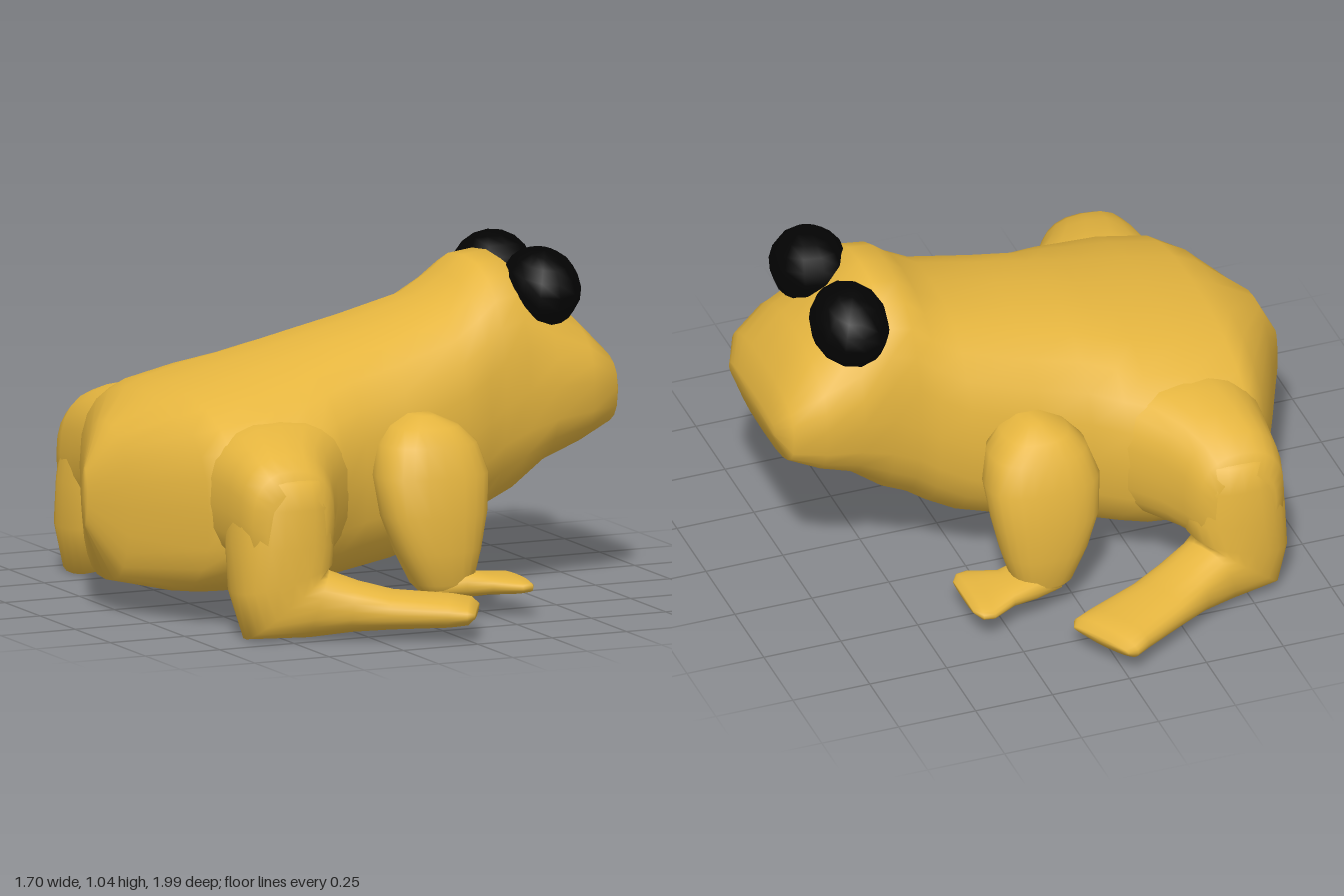
import * as THREE from 'three';

const SEG = 24;
const V = (x, y, z) => new THREE.Vector3(x, y, z);

// Superellipse ring: centre c, half axes u and v (w and m replace v and n on the negative side)
function ring(c, u, v, n = 2, w = v, m = n) {
  const pts = [];
  const pw = (k, e) => Math.sign(k) * Math.pow(Math.abs(k), 2 / e);
  for (let j = 0; j < SEG; j++) {
    const t = (j / SEG) * Math.PI * 2;
    const up = j <= SEG / 2;
    const e = up ? n : m;
    pts.push(c.clone().addScaledVector(u, pw(Math.cos(t), e)).addScaledVector(up ? v : w, pw(Math.sin(t), e)));
  }
  return pts;
}

// Smooth closed skin through rings; side = -1 mirrors it across z
function loft(rings, side = 1) {
  const pos = [], idx = [];
  const tri = (a, b, c) => (side > 0 ? idx.push(a, b, c) : idx.push(a, c, b));
  const put = (p) => pos.push(p.x, p.y, p.z * side);
  rings.forEach((r) => r.forEach(put));
  for (let i = 0; i < rings.length - 1; i++) {
    for (let j = 0; j < SEG; j++) {
      const k = (j + 1) % SEG;
      const a = i * SEG + j, b = i * SEG + k;
      tri(a, b, a + SEG);
      tri(b, b + SEG, a + SEG);
    }
  }
  [0, rings.length - 1].forEach((i, end) => {
    const mid = rings[i].reduce((m, p) => m.add(p), V(0, 0, 0)).divideScalar(SEG);
    const m = pos.length / 3;
    put(mid);
    for (let j = 0; j < SEG; j++) {
      const a = i * SEG + j, b = i * SEG + ((j + 1) % SEG);
      end ? tri(a, b, m) : tri(b, a, m);
    }
  });
  const g = new THREE.BufferGeometry();
  g.setAttribute('position', new THREE.Float32BufferAttribute(pos, 3));
  g.setIndex(idx);
  g.computeVertexNormals();
  return g;
}

// Upright limb from rows of [y, xMin, xMax, zMin, zMax], bottom to top
const limb = (rows) => rows.map(([y, x0, x1, z0, z1]) =>
  ring(V((x0 + x1) / 2, y, (z0 + z1) / 2), V(0, 0, (z1 - z0) / 2), V((x1 - x0) / 2, 0, 0), 2.5));

// Sideways haunch from rows of [z, xMin, xMax, yMin, yMax], inside to outside
const haunch = (rows) => rows.map(([z, x0, x1, y0, y1]) =>
  ring(V((x0 + x1) / 2, (y0 + y1) / 2, z), V((x1 - x0) / 2, 0, 0), V(0, (y1 - y0) / 2, 0), 2.5));

// Bending limb from rows of [x, y, z, halfWidth, halfThickness, downward pitch, outward yaw] towards the toe
const bend = (rows) => rows.map(([x, y, z, w, h, pitch = 0, yaw = 0]) => {
  const f = Math.sin(pitch) * h;
  return ring(V(x, y, z), V(Math.sin(yaw) * w, 0, -Math.cos(yaw) * w),
    V(Math.cos(yaw) * f, Math.cos(pitch) * h, Math.sin(yaw) * f), 2.4);
});

export function createModel() {
  const skin = new THREE.MeshStandardMaterial({ color: 0xe5b53f });
  skin.name = 'goldenSkin';
  const black = new THREE.MeshStandardMaterial({ color: 0x030303 });
  black.name = 'eyeBlack';

  const model = new THREE.Group();
  model.name = 'frog';
  const add = (name, geo, mat = skin) => {
    const m = new THREE.Mesh(geo, mat);
    m.name = name;
    model.add(m);
    return m;
  };

  // Body and head: [x, bottom, widest y, top, half width, upper roundness, lower roundness]
  const body = [
    [-0.85, 0.28, 0.37, 0.46, 0.02, 2, 2],
    [-0.78, 0.11, 0.36, 0.60, 0.17, 2.2, 2.6],
    [-0.65, 0.09, 0.38, 0.68, 0.46, 2.3, 3],
    [-0.58, 0.085, 0.40, 0.705, 0.54, 2.2, 3],
    [-0.42, 0.08, 0.41, 0.745, 0.56, 2.1, 2.8],
    [-0.28, 0.08, 0.41, 0.775, 0.53, 2.1, 2.8],
    [-0.20, 0.085, 0.42, 0.795, 0.49, 2.2, 2.8],
    [-0.10, 0.095, 0.43, 0.82, 0.43, 2.3, 2.8],
    [0.06, 0.12, 0.45, 0.855, 0.40, 2.4, 2.8],
    [0.27, 0.165, 0.52, 0.91, 0.365, 2.4, 2.5],
    [0.36, 0.21, 0.56, 0.97, 0.335, 2.4, 2.5],
    [0.42, 0.25, 0.60, 1.02, 0.32, 2.4, 2.5],
    [0.50, 0.29, 0.64, 1.03, 0.315, 2.4, 2.6],
    [0.60, 0.38, 0.65, 0.95, 0.315, 2.1, 2.8],
    [0.72, 0.435, 0.65, 0.85, 0.31, 2.2, 3],
    [0.815, 0.485, 0.62, 0.74, 0.27, 2.8, 3],
    [0.85, 0.58, 0.61, 0.64, 0.20, 3, 3],
  ];
  add('body', loft(body.map(([x, b, c, t, w, n, m]) =>
    ring(V(x, c, 0), V(0, 0, -w), V(0, t - c, 0), n, V(0, c - b, 0), m))));

  for (const side of [1, -1]) {
    const label = side > 0 ? 'right' : 'left';

    // Hind leg
    add(label + 'Haunch', loft(haunch([
      [0.22, -0.64, -0.06, 0.18, 0.62],
      [0.36, -0.65, -0.09, 0.18, 0.645],
      [0.46, -0.645, -0.17, 0.19, 0.63],
      [0.56, -0.635, -0.26, 0.19, 0.605],
      [0.64, -0.63, -0.31, 0.19, 0.575],
      [0.70, -0.615, -0.34, 0.20, 0.535],
      [0.73, -0.58, -0.38, 0.24, 0.47],
    ]), side));
    add(label + 'HindLeg', loft(bend([
      [-0.475, 0.55, 0.535, 0.10, 0.085, 1.57],
      [-0.47, 0.50, 0.575, 0.15, 0.13, 1.57],
      [-0.473, 0.42, 0.587, 0.16, 0.153, 1.57],
      [-0.48, 0.30, 0.602, 0.153, 0.16, 1.57],
      [-0.485, 0.20, 0.62, 0.137, 0.163, 1.31, 0.1],
      [-0.48, 0.12, 0.638, 0.118, 0.165, 0.87, 0.28],
      [-0.38, 0.115, 0.675, 0.107, 0.105, 0.3, 0.45],
      [-0.28, 0.107, 0.72, 0.105, 0.076, 0.1, 0.5],
      [-0.18, 0.098, 0.77, 0.11, 0.058, 0, 0.5],
      [-0.02, 0.095, 0.85, 0.125, 0.046, 0, 0.5],
      [0.03, 0.095, 0.88, 0.13, 0.036, 0, 0.5],
      [0.05, 0.095, 0.89, 0.11, 0.012, 0, 0.5],
    ]), side));

    // Front leg
    add(label + 'FrontLeg', loft(limb([
      [0.08, 0.05, 0.17, 0.46, 0.57],
      [0.12, 0.01, 0.20, 0.43, 0.60],
      [0.22, -0.04, 0.23, 0.41, 0.61],
      [0.33, -0.08, 0.255, 0.39, 0.61],
      [0.45, -0.09, 0.27, 0.35, 0.595],
      [0.54, -0.06, 0.245, 0.32, 0.56],
      [0.59, -0.01, 0.195, 0.31, 0.52],
      [0.62, 0.06, 0.13, 0.31, 0.45],
    ]), side));
    add(label + 'FrontFoot', loft(bend([
      [0.06, 0.11, 0.52, 0.06, 0.03],
      [0.15, 0.115, 0.525, 0.085, 0.045],
      [0.23, 0.11, 0.54, 0.085, 0.033],
      [0.31, 0.105, 0.54, 0.13, 0.026],
      [0.345, 0.105, 0.54, 0.125, 0.024],
      [0.365, 0.105, 0.535, 0.09, 0.008],
    ]), side));

    // Eye
    const eye = add(label + 'Eye', new THREE.SphereGeometry(1, 12, 9), black);
    eye.scale.set(0.12, 0.12, 0.147);
    eye.position.set(0.6, 0.936, 0.174 * side);
    eye.rotation.x = 0.25 * side;
  }
  return model;
}
